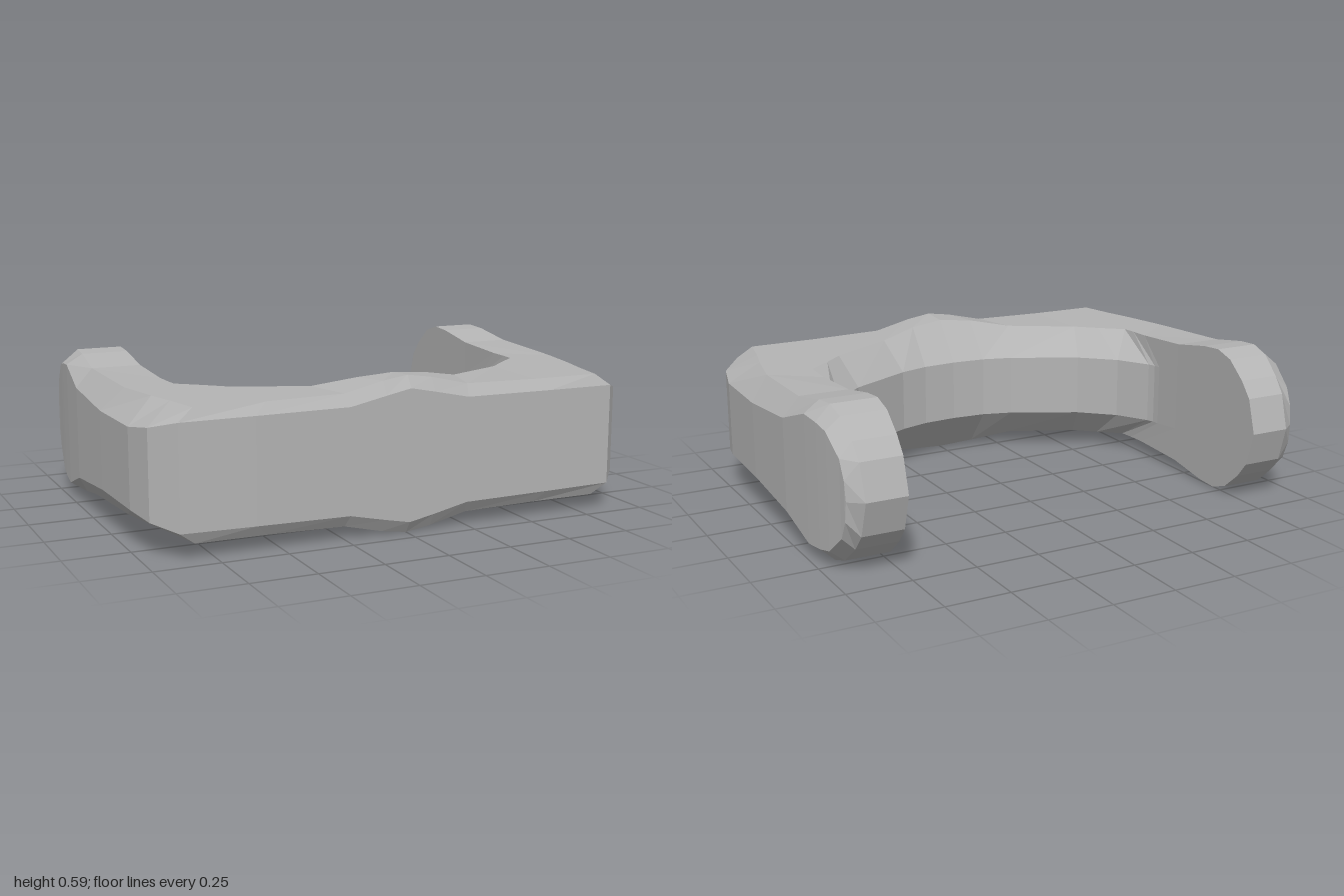
import * as THREE from 'three';

const MID = 0.295; // height of the horizontal symmetry plane

// Half of the U, from the middle of the front bar to the arm tip.
// Each station: outer face edge, bevel crease, top inner edge, inner face edge,
// every one as [x, z, half height].
const bar = [
  [[0, 0.705, 0.25], [0, 0.675, 0.295], [0, 0.56, 0.288], [0, 0.43, 0.125]],
  [[0.1, 0.705, 0.23], [0.1, 0.675, 0.28], [0.14, 0.54, 0.275], [0.14, 0.42, 0.125]],
  [[0.24, 0.703, 0.2], [0.25, 0.673, 0.245], [0.3, 0.485, 0.245], [0.26, 0.385, 0.125]],
  [[0.6, 0.698, 0.197], [0.55, 0.672, 0.24], [0.56, 0.35, 0.24], [0.52, 0.25, 0.125]],
  [[0.88, 0.69, 0.195], [0.82, 0.67, 0.24], [0.64, 0.275, 0.24], [0.65, 0.13, 0.125]],
  [[0.96, 0.6, 0.168], [0.85, 0.52, 0.24], [0.73, 0.2, 0.24], [0.725, 0, 0.125]],
  [[0.99, 0.47, 0.15], [0.88, 0.4, 0.24], [0.735, 0.14, 0.24], [0.735, -0.03, 0.125]],
  [[1, 0.15, 0.15], [0.92, 0.2, 0.24], [0.738, 0.06, 0.24], [0.738, -0.06, 0.125]],
];

// Rounded arm: [outer x, outer z, outer half, crease x, crease z, crease half]
const arm = [
  [1, -0.19, 0.18, 0.935, -0.19, 0.253],
  [0.988, -0.38, 0.243, 0.925, -0.37, 0.284],
  [0.98, -0.47, 0.235, 0.92, -0.46, 0.29],
  [0.972, -0.54, 0.22, 0.915, -0.54, 0.265],
  [0.96, -0.63, 0.145, 0.907, -0.62, 0.197],
  [0.957, -0.66, 0.075, 0.903, -0.67, 0.135],
  [0.955, -0.668, 0, 0.9, -0.71, 0],
].map(([ox, oz, oh, cx, cz, ch]) => [
  [ox, oz, oh], [cx, cz, ch], [0.74, cz, ch], [0.74, cz, ch * 0.45],
]);

// Closed ring of eight points, top half then its reflection
function ring(station, side) {
  const top = station.map(([x, z, h]) => new THREE.Vector3(side * x, MID + h, z));
  const bottom = station.map(([x, z, h]) => new THREE.Vector3(side * x, MID - h, z)).reverse();
  return [...top, ...bottom];
}

function sweep(rings) {
  const positions = [];
  const tri = new THREE.Triangle();
  const add = (a, b, c) => {
    tri.set(a, b, c);
    if (tri.getArea() > 1e-7) positions.push(...a.toArray(), ...b.toArray(), ...c.toArray());
  };
  for (let i = 0; i < rings.length - 1; i++) {
    const p = rings[i], q = rings[i + 1];
    for (let j = 0; j < p.length; j++) {
      const k = (j + 1) % p.length;
      add(p[j], q[j], q[k]);
      add(p[j], q[k], p[k]);
    }
  }
  const geometry = new THREE.BufferGeometry();
  geometry.setAttribute('position', new THREE.Float32BufferAttribute(positions, 3));
  geometry.computeVertexNormals();
  return geometry;
}

export function createModel() {
  const group = new THREE.Group();
  group.name = 'uShapedBracket';
  const grey = new THREE.MeshStandardMaterial({ color: 0xb4b4b4, flatShading: true });
  grey.name = 'plain grey';

  // Left and right halves joined into one continuous band
  const half = [...bar, ...arm];
  const rings = [
    ...half.slice(1).reverse().map((s) => ring(s, -1)),
    ...half.map((s) => ring(s, 1)),
  ];
  const body = new THREE.Mesh(sweep(rings), grey);
  body.name = 'bracketBody';
  group.add(body);
  return group;
}
